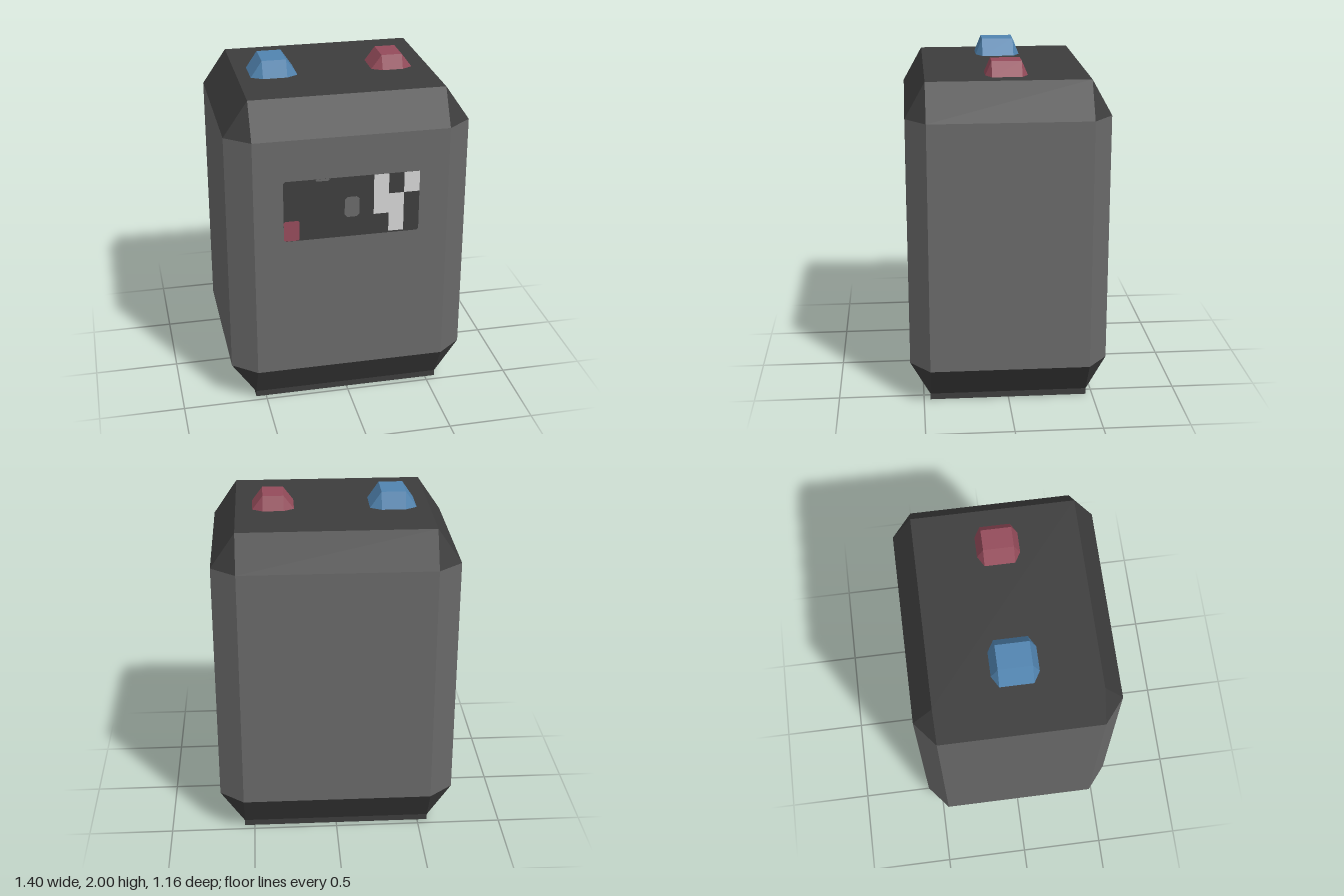
import * as THREE from 'three';

const paint = (name, color) => {
  const m = new THREE.MeshStandardMaterial({ color });
  m.name = name;
  return m;
};

// Chamfered rectangle: outer half extents (ox, oz), flat-side half extents (ix, iz)
const ring = (y, ox, oz, ix = ox, iz = oz) =>
  [[ox, iz], [ox, -iz], [ix, -oz], [-ix, -oz], [-ox, -iz], [-ox, iz], [-ix, oz], [ix, oz]]
    .map(([x, z]) => new THREE.Vector3(x, y, z));

// Flat-faced skin between two rings, lower one first, with optional end faces
function loft(lo, hi, capBottom = false, capTop = false) {
  const pts = [];
  const tri = (a, b, c) => {
    if (new THREE.Triangle(a, b, c).getArea() > 1e-7) pts.push(a, b, c);
  };
  for (let i = 0; i < 8; i++) {
    const j = (i + 1) % 8;
    tri(lo[i], lo[j], hi[j]);
    tri(lo[i], hi[j], hi[i]);
  }
  for (let i = 1; i < 7; i++) {
    if (capBottom) tri(lo[0], lo[i + 1], lo[i]);
    if (capTop) tri(hi[0], hi[i], hi[i + 1]);
  }
  const g = new THREE.BufferGeometry().setFromPoints(pts);
  g.computeVertexNormals();
  return g;
}

export function createModel() {
  const model = new THREE.Group();
  model.name = 'boxyDevice';

  const grey = paint('bodyGrey', 0x696969);
  const dark = paint('darkGrey', 0x3d3d3d);
  dark.side = THREE.DoubleSide; // the plinth is an open skirt
  const white = paint('paleGrey', 0xd4d4d4);
  const blue = paint('buttonBlue', 0x5184b0);
  const red = paint('buttonRed', 0x944b5a);

  const add = (name, geometry, material, parent = model) => {
    const mesh = new THREE.Mesh(geometry, material);
    mesh.name = name;
    parent.add(mesh);
    return mesh;
  };

  // Casing: eight-sided body, bevelled caps and an open skirt around the recessed underside
  const W = 0.701, D = 0.577, w = 0.56, d = 0.462;
  const wide = (y) => ring(y, W, D, w, d);
  const narrow = (y) => ring(y, w, d);
  add('body', loft(wide(0.24), wide(1.7)), grey);
  add('topCap', loft(wide(1.7), narrow(1.905), false, true), dark);
  add('bottomCap', loft(narrow(0.037), wide(0.24), true), dark);
  add('plinthSkirt', loft(narrow(0), narrow(0.037)), dark);

  // Top buttons
  const button = (name, x, ox, oz, ix, iz, top, material) => {
    const g = loft(ring(1.905, ox, oz, ix, iz), ring(top, ix, iz), false, true);
    add(name, g, material).position.x = x;
  };
  button('blueButton', -0.35, 0.135, 0.132, 0.07, 0.094, 2.0, blue);
  button('redButton', 0.342, 0.12, 0.12, 0.06, 0.085, 1.985, red);

  // Front panel: flat dark face with coloured blocks, corners clipped by c
  const panel = new THREE.Group();
  panel.name = 'frontPanel';
  panel.position.z = D;
  model.add(panel);
  const plate = (name, x0, x1, y0, y1, z, material, c = 0) => {
    const corners = [
      [x0 + c, y0], [x1 - c, y0], [x1, y0 + c], [x1, y1 - c],
      [x1 - c, y1], [x0 + c, y1], [x0, y1 - c], [x0, y0 + c],
    ].map(([x, y]) => new THREE.Vector2(x, y));
    add(name, new THREE.ShapeGeometry(new THREE.Shape(corners)), material, panel).position.z = z;
  };
  plate('panelBack', -0.392, 0.39, 1.09, 1.458, 0.001, dark, 0.012);
  plate('panelNotch', -0.21, -0.13, 1.445, 1.458, 0.002, grey, 0.006);
  plate('redBlock', -0.392, -0.302, 1.092, 1.215, 0.002, red, 0.008);
  plate('centreBlock', -0.043, 0.043, 1.211, 1.335, 0.002, grey, 0.016);
  plate('paleBlockLeft', 0.125, 0.212, 1.215, 1.458, 0.002, white);
  plate('paleBlockMiddle', 0.212, 0.3, 1.1, 1.335, 0.002, white);
  plate('paleBlockRight', 0.3, 0.39, 1.335, 1.458, 0.002, white);

  return model;
}
